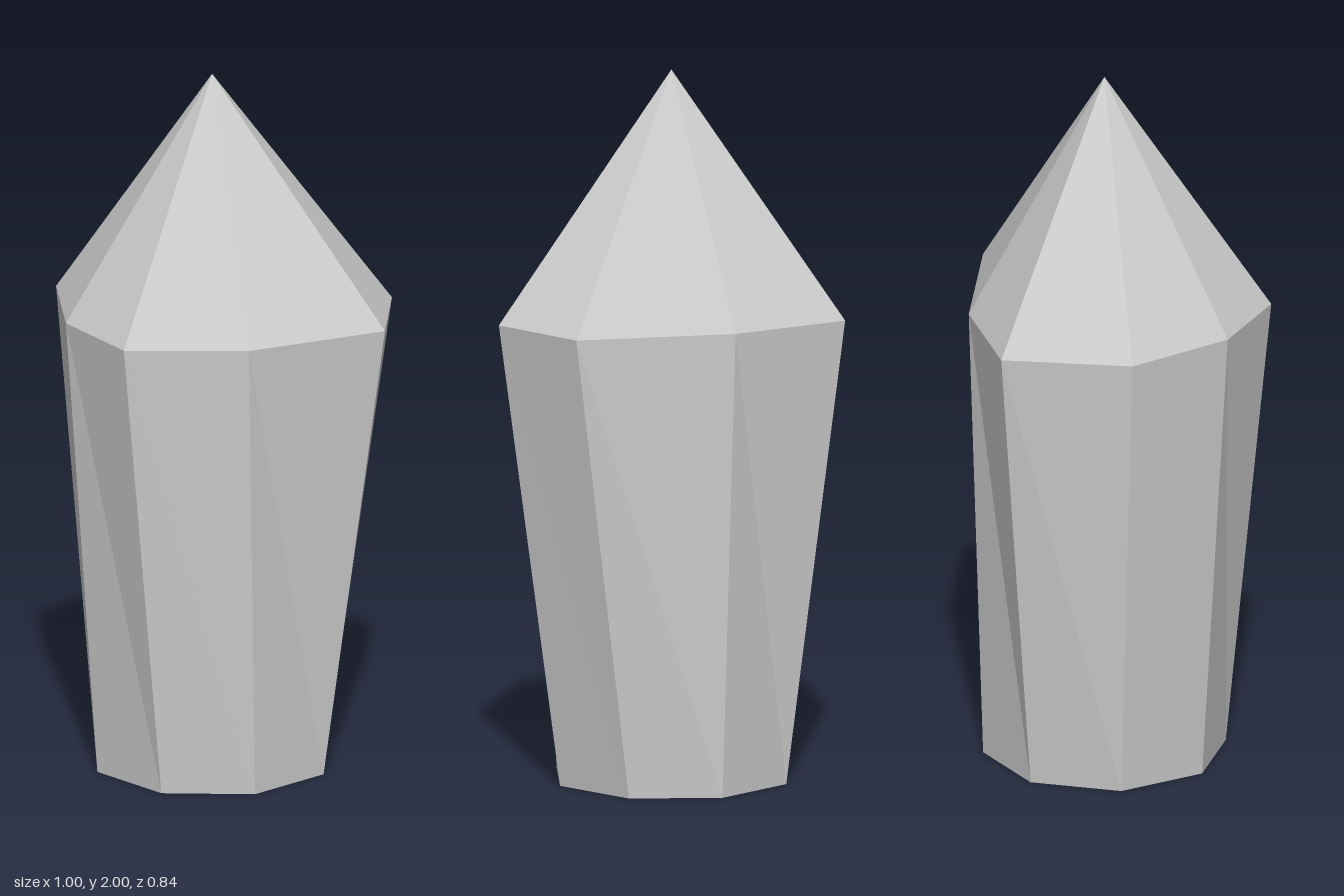
import * as THREE from 'three';

// Closed faceted skin from a list of triangles
function facets(name, triangles, material) {
  const geometry = new THREE.BufferGeometry().setFromPoints(triangles.flat());
  geometry.computeVertexNormals();
  const mesh = new THREE.Mesh(geometry, material);
  mesh.name = name;
  return mesh;
}

export function createModel() {
  const group = new THREE.Group();
  group.name = 'crystal';
  const material = new THREE.MeshStandardMaterial({ color: 0xcccccc, flatShading: true });

  const cx = -0.03, cz = -0.04, baseRadius = 0.34, shoulderY = 1.32;
  const tip = new THREE.Vector3(cx, 2, cz);
  const baseCentre = new THREE.Vector3(cx, 0, cz);

  // Irregular shoulder ring (x, z), running from +x towards +z
  const shoulder = [
    [0.497, -0.04], [0.227, 0.278], [-0.09, 0.419], [-0.338, 0.263],
    [-0.5, -0.027], [-0.404, -0.381], [-0.05, -0.423], [0.39, -0.322],
  ].map(([x, z]) => new THREE.Vector3(x, shoulderY, z));

  // Regular octagonal foot
  const n = shoulder.length;
  const base = shoulder.map((_, i) => {
    const a = (i / n) * Math.PI * 2;
    return new THREE.Vector3(cx + baseRadius * Math.cos(a), 0, cz + baseRadius * Math.sin(a));
  });

  const shaft = [], point = [], foot = [];
  for (let i = 0; i < n; i++) {
    const j = (i + 1) % n;
    shaft.push([base[i], shoulder[i], shoulder[j]], [base[i], shoulder[j], base[j]]);
    point.push([shoulder[i], tip, shoulder[j]]);
    foot.push([baseCentre, base[i], base[j]]);
  }

  group.add(
    facets('shaft', shaft, material),
    facets('point', point, material),
    facets('foot', foot, material),
  );
  return group;
}
